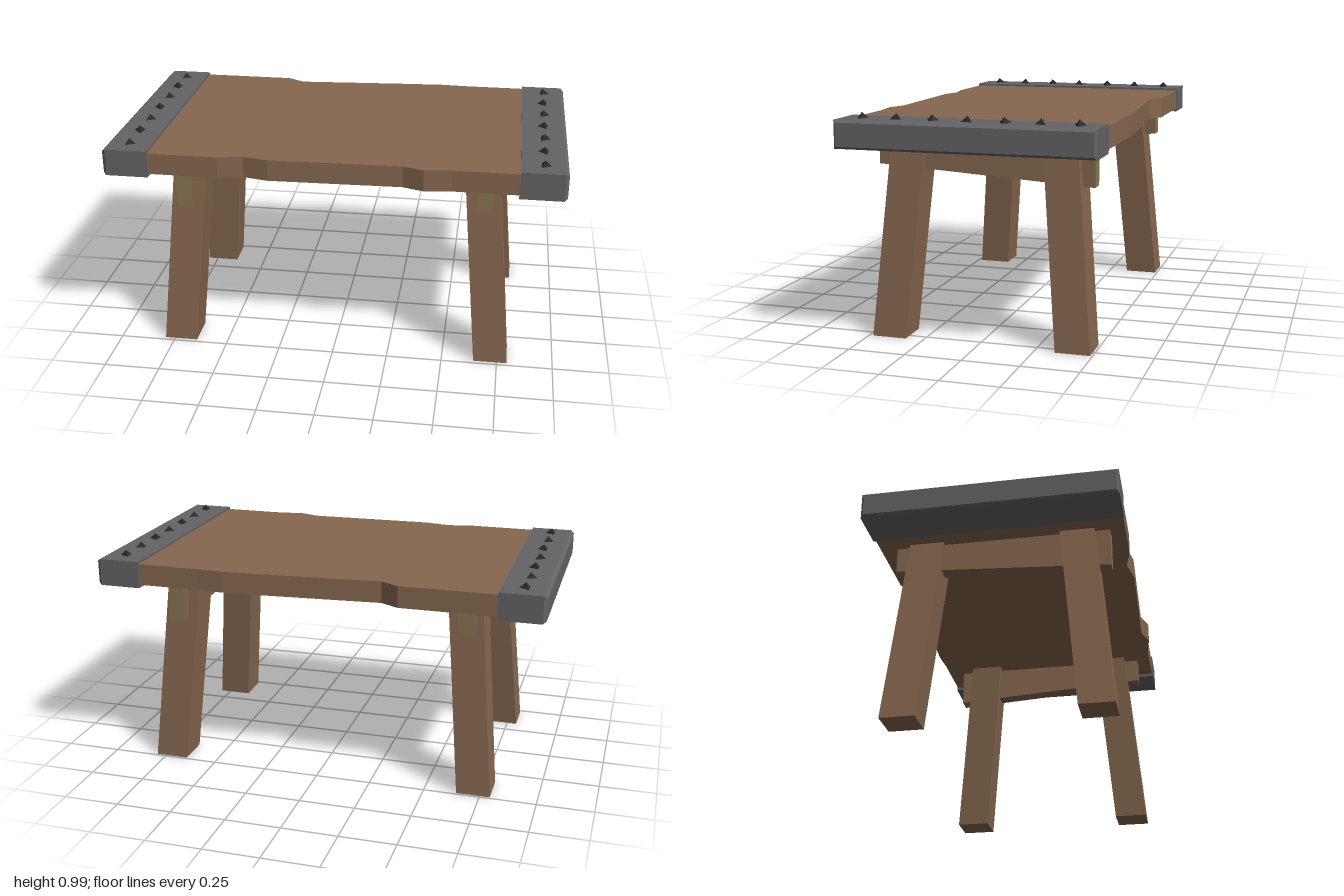
import * as THREE from 'three';

const flat = (name, color) => {
  const m = new THREE.MeshStandardMaterial({ color, flatShading: true });
  m.name = name;
  return m;
};

// Moves every vertex of a geometry by a rule, then rebuilds flat normals
function reshape(geometry, rule) {
  const g = geometry.toNonIndexed();
  g.clearGroups();
  geometry.groups.forEach(({ start, count, materialIndex }) => g.addGroup(start, count, materialIndex));
  const p = g.attributes.position;
  const v = new THREE.Vector3();
  for (let i = 0; i < p.count; i++) {
    v.fromBufferAttribute(p, i);
    rule(v);
    p.setXYZ(i, v.x, v.y, v.z);
  }
  g.computeVertexNormals();
  return g;
}

export function createModel() {
  const wood = flat('wood', 0x86674e);
  const endGrain = flat('end grain', 0x88774f);
  const iron = flat('iron', 0x646467);
  const darkIron = flat('dark iron', 0x2b2b30);

  const table = new THREE.Group();
  table.name = 'table';
  const add = (name, geometry, material, x = 0, y = 0, z = 0) => {
    const mesh = new THREE.Mesh(geometry, material);
    mesh.name = name;
    mesh.position.set(x, y, z);
    table.add(mesh);
    return mesh;
  };

  // Tabletop slab with chipped long edges (x, z outline)
  const outline = [
    [-0.97, -0.555], [-0.38, -0.555], [-0.3, -0.51], [0.2, -0.548], [0.4, -0.561], [0.52, -0.555], [0.97, -0.555],
    [0.97, 0.54], [0.52, 0.54], [0.4, 0.556], [0.31, 0.525], [-0.27, 0.54], [-0.38, 0.516], [-0.49, 0.54], [-0.97, 0.54],
  ];
  const slab = new THREE.ExtrudeGeometry(
    new THREE.Shape(outline.map(([x, z]) => new THREE.Vector2(x, z))),
    { depth: 0.095, bevelEnabled: false },
  );
  slab.rotateX(Math.PI / 2);
  add('tabletop', slab, wood, 0, 0.955, 0);

  // Iron end band, chamfered on its outer face only
  const band = reshape(new THREE.BoxGeometry(0.2, 0.12, 1.104, 2, 1, 1), (v) => {
    if (Math.abs(v.x) < 0.01) v.x = 0.086;
    else if (v.x > 0) {
      v.y -= Math.sign(v.y) * 0.011;
      v.z -= Math.sign(v.z) * 0.011;
    }
  });
  const spike = new THREE.ConeGeometry(0.034, 0.03, 3);

  for (const side of [-1, 1]) {
    const label = side > 0 ? 'left' : 'right';
    add(`${label}EndBand`, band, iron, side * 0.9, 0.905, -0.007).rotation.y = side > 0 ? 0 : Math.PI;

    // Row of three-sided studs, turned alternately
    for (let i = 0; i < 7; i++) {
      const stud = add(`${label}Stud${i + 1}`, spike, darkIron, side * 0.9, 0.975, 0.458 - i * 0.154);
      stud.rotation.y = i % 2 ? -1.73 : Math.PI / 2;
    }

    // Splayed legs, flat on the floor
    for (const end of [-1, 1]) {
      const leg = reshape(new THREE.BoxGeometry(0.15, 0.9, 0.152), (v) => {
        const lift = (v.y + 0.45) * 0.087;
        v.x -= side * lift;
        v.z -= end * lift;
      });
      add(`${label}${end > 0 ? 'Front' : 'Back'}Leg`, leg, wood, side * 0.72, 0.45, end * 0.41 - 0.004);
    }

    // Slanted cross beam with end grain on both tips
    const beam = reshape(new THREE.BoxGeometry(0.07, 0.195, 0.955), (v) => {
      v.y += side * v.z * 0.063;
    });
    add(`${label}CrossBeam`, beam, [wood, wood, wood, wood, endGrain, endGrain], side * 0.66, 0.8125, -0.003);
  }
  return table;
}
